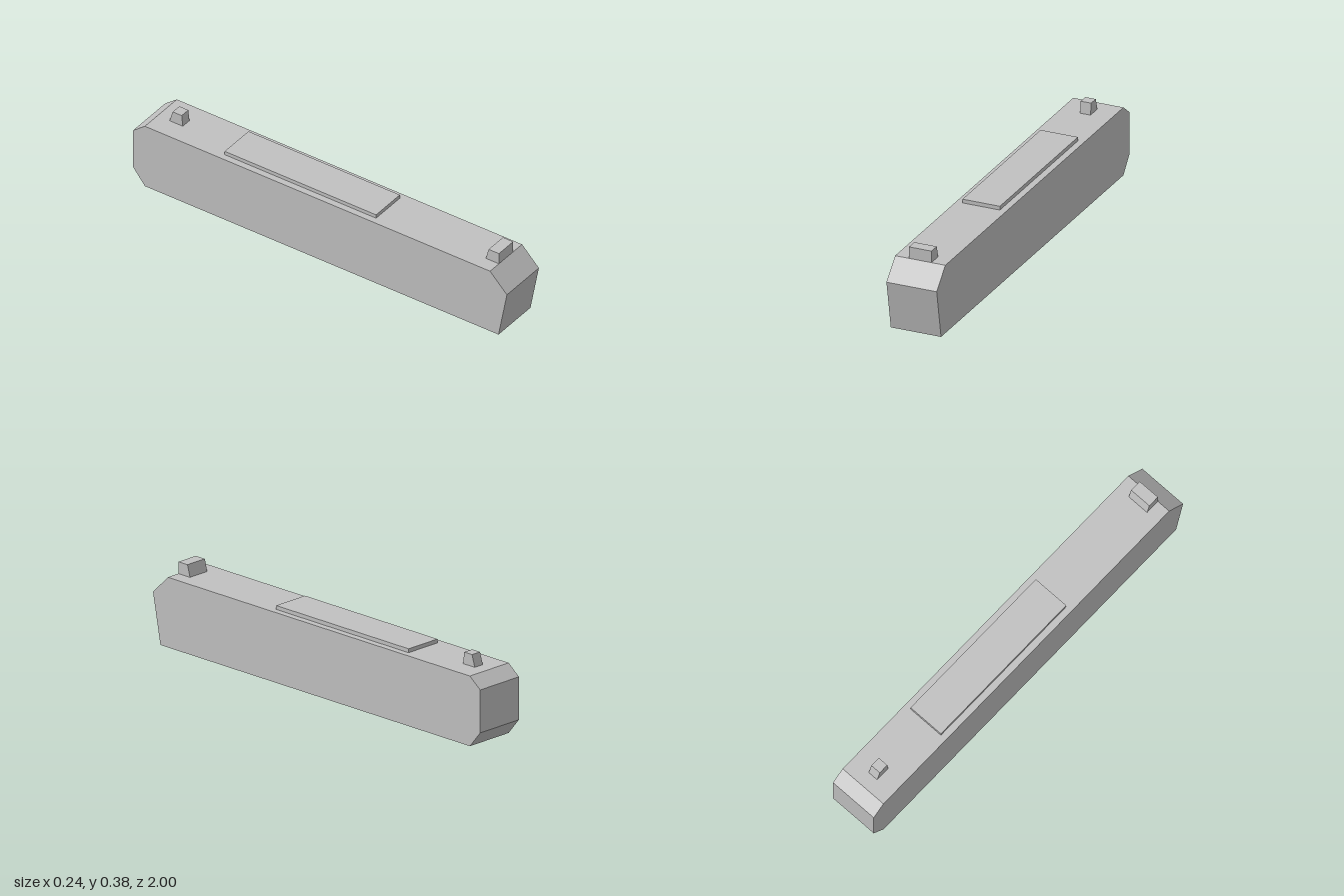
import * as THREE from 'three';

const grey = new THREE.MeshStandardMaterial({ color: 0xc0c0c0 });
grey.name = 'plain grey';

// Extrudes a side profile of [z, y] points across x, centred on x = 0
function sideProfile(name, width, points) {
  const shape = new THREE.Shape(points.map(([z, y]) => new THREE.Vector2(z, y)));
  const geometry = new THREE.ExtrudeGeometry(shape, { depth: width, bevelEnabled: false });
  geometry.translate(0, 0, -width / 2);
  geometry.rotateY(-Math.PI / 2);
  const mesh = new THREE.Mesh(geometry, grey);
  mesh.name = name;
  return mesh;
}

export function createModel() {
  const model = new THREE.Group();
  model.name = 'slide';
  const top = 0.325;

  // Long body with chamfered ends
  model.add(sideProfile('body', 0.242, [
    [0.955, 0], [1, 0.235], [0.91, top], [-0.937, top],
    [-1, 0.276], [-1, 0.077], [-0.937, 0],
  ]));

  // Raised plate on the top
  const plate = new THREE.Mesh(new THREE.BoxGeometry(0.18, 0.018, 0.81), grey);
  plate.name = 'topPlate';
  plate.position.set(0, top + 0.009, -0.127);
  model.add(plate);

  // Wide front block, sloping at its back
  model.add(sideProfile('frontBlock', 0.108, [
    [0.84, top], [0.91, top], [0.91, 0.38], [0.855, 0.38],
  ]));

  // Narrow rear block, sloping at its back
  model.add(sideProfile('rearBlock', 0.05, [
    [-0.873, top], [-0.802, top], [-0.808, 0.38], [-0.856, 0.38],
  ]));

  return model;
}
